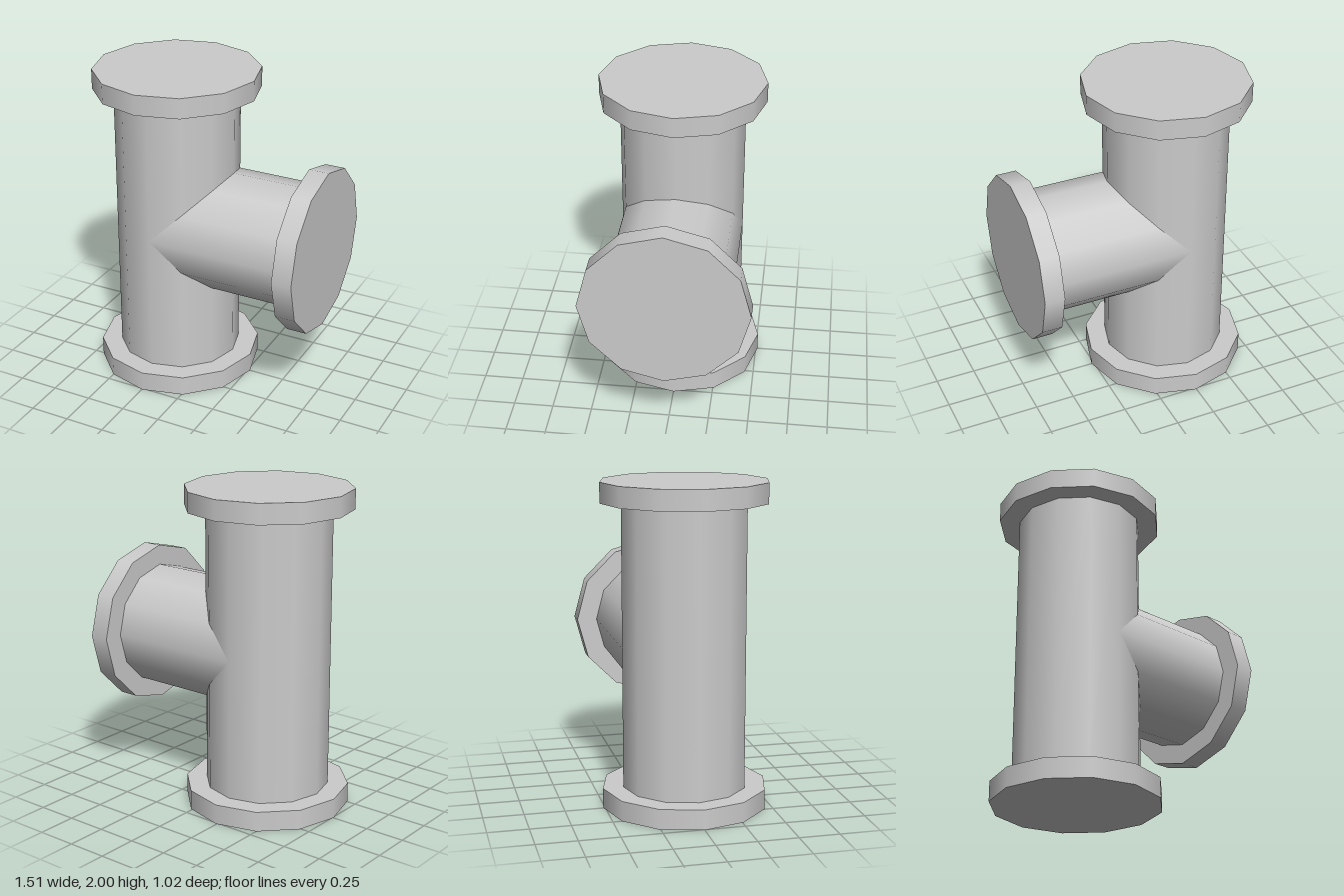
import * as THREE from 'three';

const SIDES = 12;
const PIPE_R = 0.385;
const FLANGE_R = 0.512;
const FLANGE_T = 0.125;
const AXIS_X = -0.245; // centre line of the upright pipe
const END_X = 0.757;   // outer face of the branch flange

export function createModel() {
  const group = new THREE.Group();
  const material = new THREE.MeshStandardMaterial({ color: 0xcccccc });

  const add = (name, geometry, x, y) => {
    const mesh = new THREE.Mesh(geometry, material);
    mesh.name = name;
    mesh.position.set(x, y, 0);
    group.add(mesh);
  };
  const pipe = (length) => new THREE.CylinderGeometry(PIPE_R, PIPE_R, length, SIDES, 1, true);
  const flange = () => new THREE.CylinderGeometry(FLANGE_R, FLANGE_R, FLANGE_T, SIDES);

  // Upright pipe with a flange at each end
  add('mainPipe', pipe(2 - 2 * FLANGE_T), AXIS_X, 1);
  add('bottomFlange', flange(), AXIS_X, FLANGE_T / 2);
  add('topFlange', flange(), AXIS_X, 2 - FLANGE_T / 2);

  // Side branch, its inner end mitred along the seam with the upright pipe
  const length = END_X - FLANGE_T - AXIS_X;
  const branch = pipe(length).rotateZ(-Math.PI / 2).translate(length / 2, 0, 0);
  const pos = branch.attributes.position;
  for (let i = 0; i < pos.count; i++) {
    if (pos.getX(i) < length / 2) pos.setX(i, Math.abs(pos.getY(i)));
  }
  add('branchPipe', branch, AXIS_X, 1);
  add('branchFlange', flange().rotateZ(-Math.PI / 2), END_X - FLANGE_T / 2, 1);

  return group;
}
